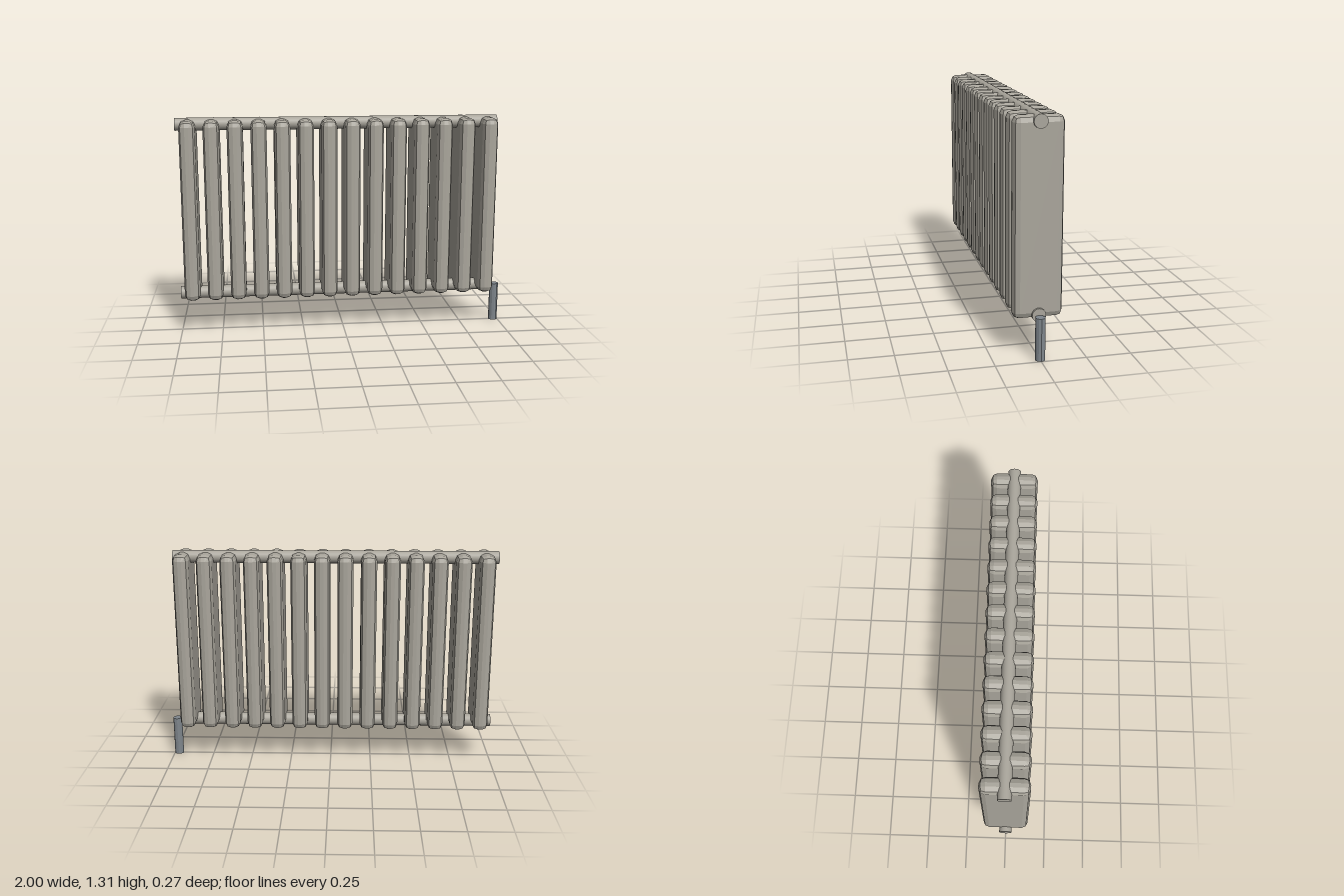
import * as THREE from 'three';
import { RoundedBoxGeometry } from 'three/addons/geometries/RoundedBoxGeometry.js';

export function createModel() {
  const model = new THREE.Group();
  model.name = 'radiator';

  const enamel = new THREE.MeshStandardMaterial({ color: 0xaaa69c });
  const enamelFlat = new THREE.MeshStandardMaterial({ color: 0xaaa69c, flatShading: true });
  const metal = new THREE.MeshStandardMaterial({ color: 0x7f868c, flatShading: true });

  const add = (name, geometry, material, x, y, z = 0) => {
    const mesh = new THREE.Mesh(geometry, material);
    mesh.name = name;
    mesh.position.set(x, y, z);
    model.add(mesh);
    return mesh;
  };

  // Upright sections with two-step bevels
  const count = 14, first = -0.924, pitch = 0.1392;
  const section = new RoundedBoxGeometry(0.094, 1.09, 0.274, 1, 0.036);
  for (let i = 0; i < count; i++) {
    add(`section${i + 1}`, section, enamelFlat, first + i * pitch, 0.76);
  }

  // Header pipes running through the sections, top and bottom
  const pipe = new THREE.CylinderGeometry(0.038, 0.038, 1.945, 24).rotateZ(Math.PI / 2);
  add('topPipe', pipe, enamel, -0.0275, 1.276);
  add('bottomPipe', pipe, enamel, -0.0275, 0.24);

  // Supply tail dropping to the floor at the left end
  const tail = new THREE.CylinderGeometry(0.028, 0.028, 0.24, 12);
  add('supplyTail', tail, metal, 0.972, 0.12);

  return model;
}
